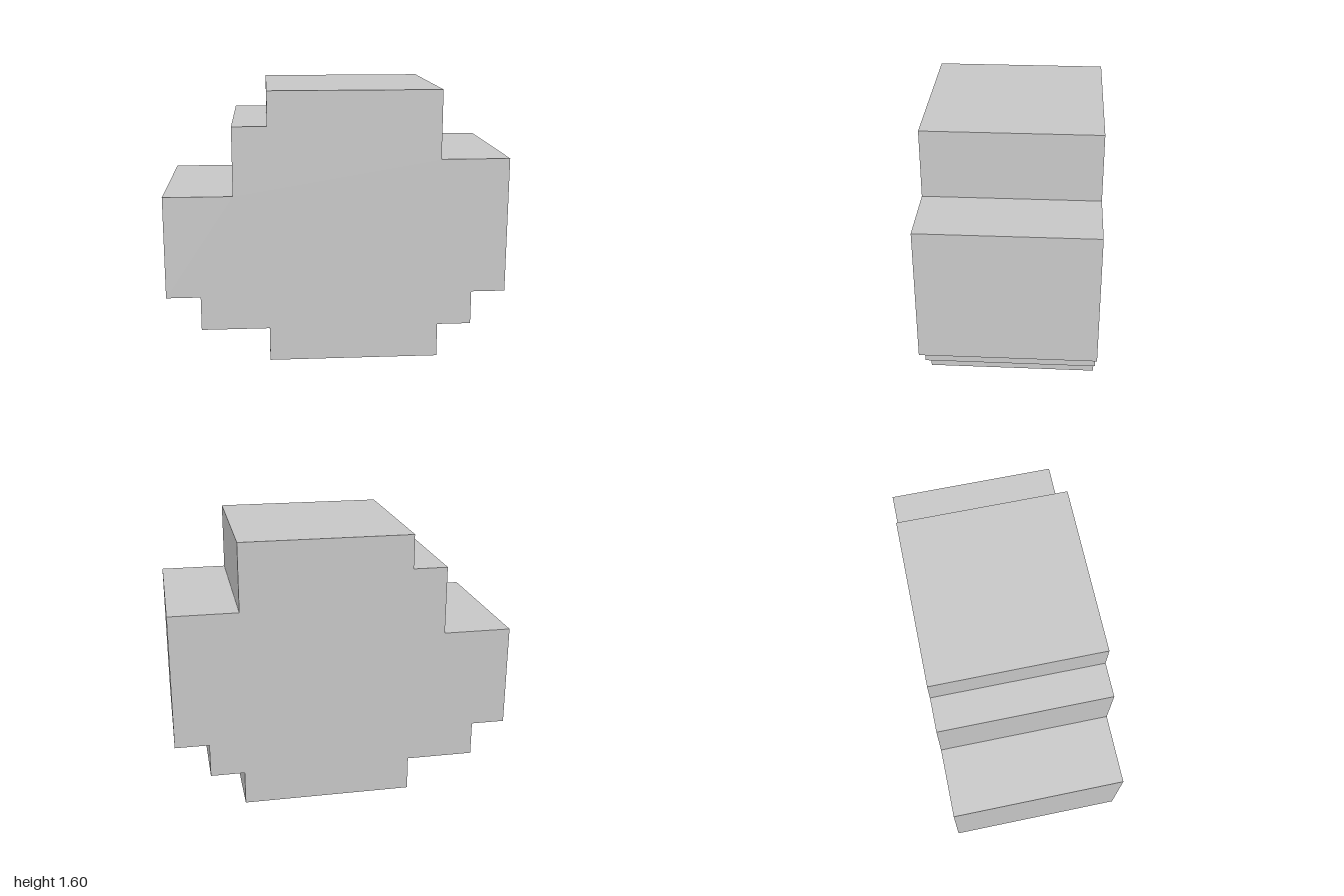
import * as THREE from 'three';

export function createModel() {
  const group = new THREE.Group();
  group.name = 'steppedBlock';

  // Stepped outline, counter-clockwise from the lower left of the base
  const outline = [
    [-0.4, 0], [0.6, 0], [0.6, 0.2], [0.8, 0.2], [0.8, 0.4], [1, 0.4],
    [1, 1.2], [0.6, 1.2], [0.6, 1.6], [-0.4, 1.6], [-0.4, 1.4], [-0.6, 1.4],
    [-0.6, 1], [-1, 1], [-1, 0.4], [-0.8, 0.4], [-0.8, 0.2], [-0.4, 0.2],
  ].map(([x, y]) => new THREE.Vector2(x, y));

  // One solid extrusion, centred in depth
  const depth = 1;
  const geometry = new THREE.ExtrudeGeometry(new THREE.Shape(outline), { depth, bevelEnabled: false });
  geometry.translate(0, 0, -depth / 2);

  const material = new THREE.MeshStandardMaterial({ color: 0xcccccc, flatShading: true });
  const body = new THREE.Mesh(geometry, material);
  body.name = 'steppedBody';
  group.add(body);
  return group;
}
